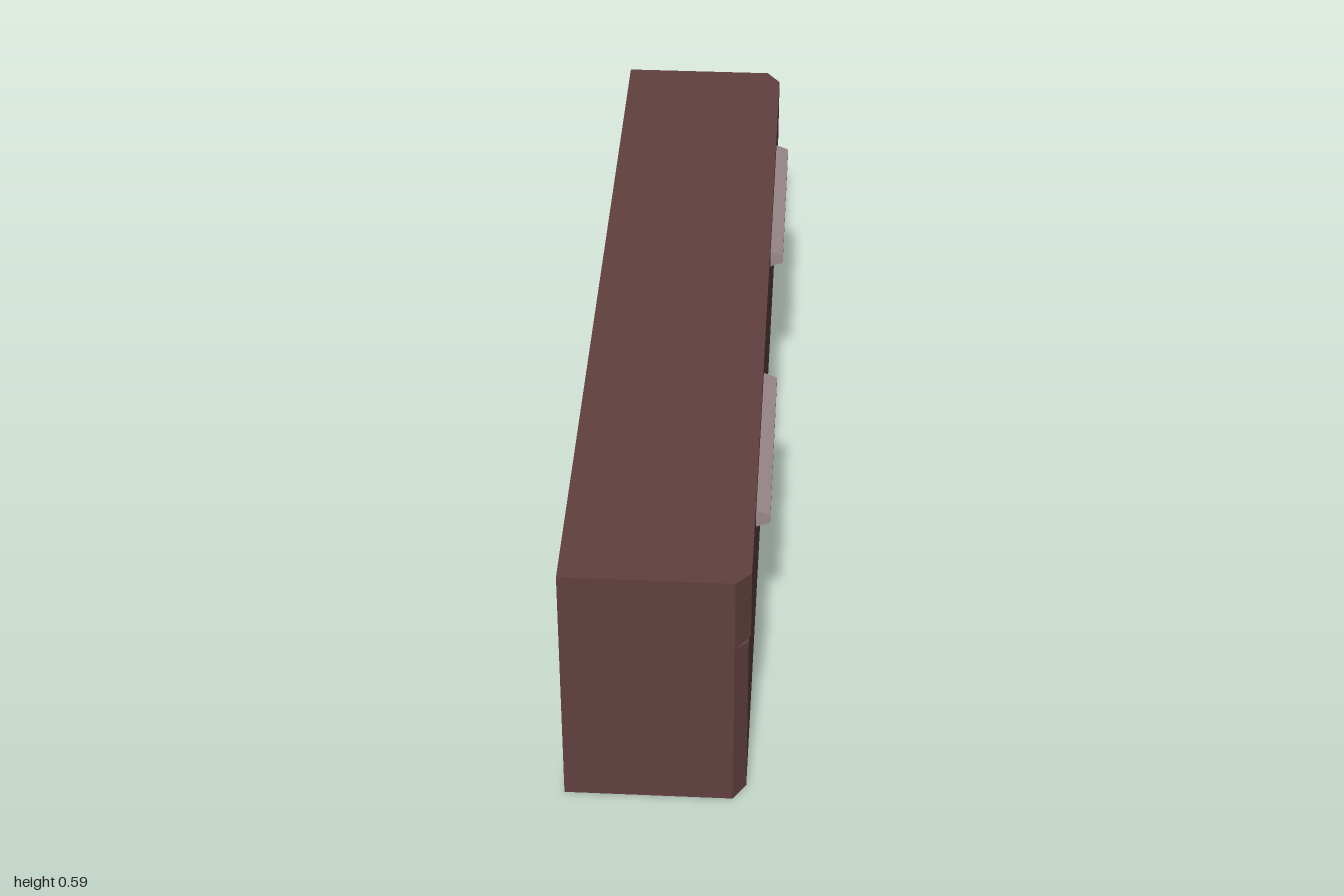
import * as THREE from 'three';

// Block between x0 and x1 whose outer (+x) face is smaller than its base.
function taperedPanel(x0, x1, base, outer) {
  const geo = new THREE.BoxGeometry(1, 1, 1);
  const p = geo.attributes.position;
  for (let i = 0; i < p.count; i++) {
    const out = p.getX(i) > 0;
    const [y0, y1, z0, z1] = out ? outer : base;
    p.setXYZ(i, out ? x1 : x0, p.getY(i) > 0 ? y1 : y0, p.getZ(i) > 0 ? z1 : z0);
  }
  geo.computeVertexNormals();
  return geo;
}

export function createModel() {
  const group = new THREE.Group();
  const wood = new THREE.MeshStandardMaterial({ color: 0x60403f });
  wood.name = 'dark brown wood';
  const metal = new THREE.MeshStandardMaterial({ color: 0x9b888b });
  metal.name = 'grey metal';

  const add = (name, geo, mat) => {
    const mesh = new THREE.Mesh(geo, mat);
    mesh.name = name;
    group.add(mesh);
    return mesh;
  };

  // Cabinet body
  add('cabinetBody', new THREE.BoxGeometry(0.352, 0.59, 2), wood).position.set(-0.03, 0.295, 0);

  // Bevelled fronts
  add('upperDrawerFront', taperedPanel(0.146, 0.177,
    [0.418, 0.59, -1, 1], [0.422, 0.586, -0.963, 0.963]), wood);
  add('lowerPanelFront', taperedPanel(0.146, 0.173,
    [0, 0.417, -1, 1], [0.008, 0.41, -0.967, 0.967]), wood);

  // Two bar handles
  for (const [name, z] of [['leftHandle', -0.48], ['rightHandle', 0.48]]) {
    add(name, taperedPanel(0.177, 0.206,
      [0.505, 0.546, -0.24, 0.24], [0.515, 0.536, -0.238, 0.238]), metal).position.z = z;
  }
  return group;
}
